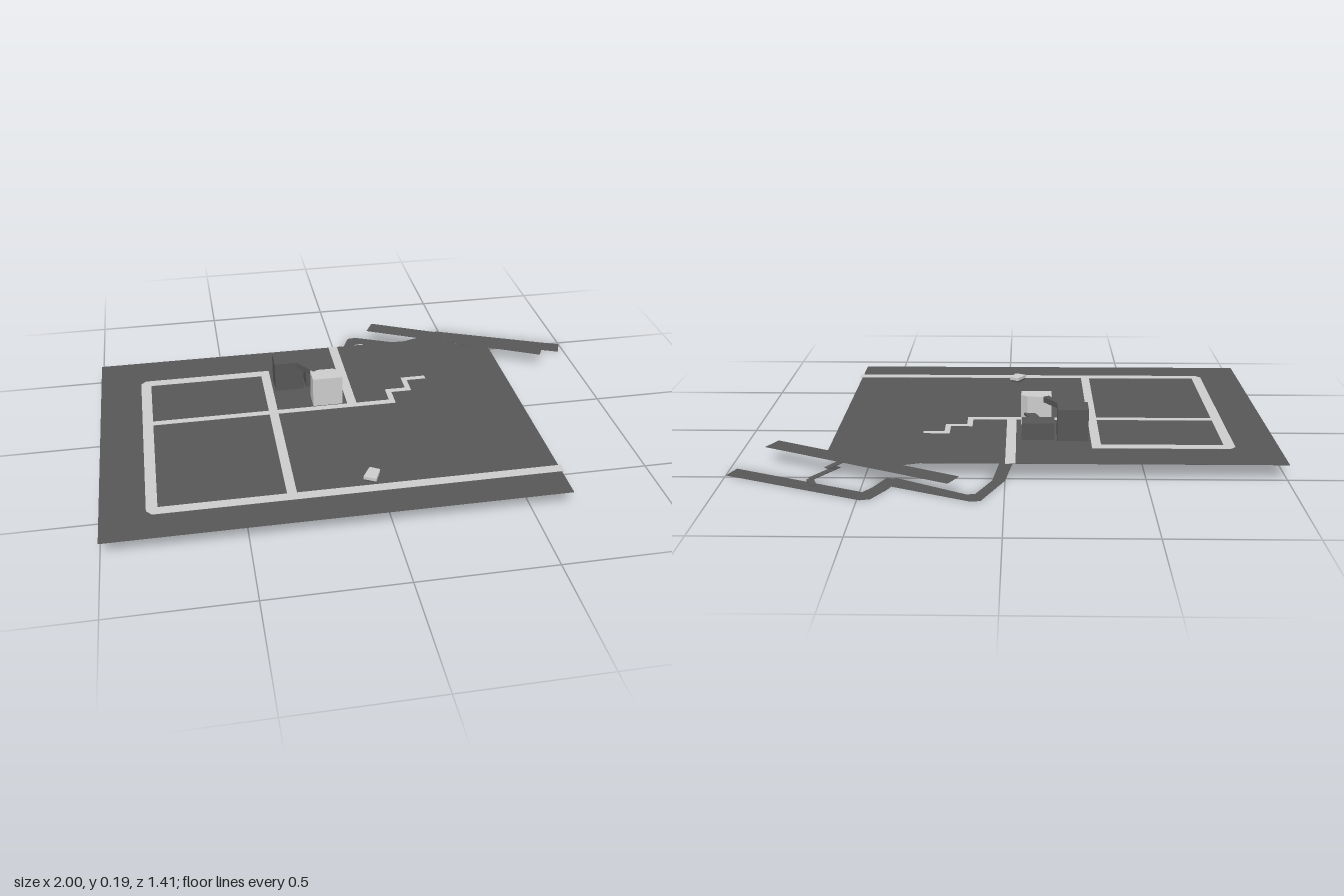
import * as THREE from 'three';

const LEVEL = 0.065; // height of the main floor

const dark = new THREE.MeshStandardMaterial({ color: 0x575757, side: THREE.DoubleSide });
const light = new THREE.MeshStandardMaterial({ color: 0xcccccc, side: THREE.DoubleSide });

// Upright prism from an [x, z] outline between two heights
function prism(name, outline, y0, y1, material) {
  const shape = new THREE.Shape(outline.map(([x, z]) => new THREE.Vector2(x, -z)));
  const geometry = new THREE.ExtrudeGeometry(shape, { depth: y1 - y0, bevelEnabled: false });
  geometry.rotateX(-Math.PI / 2).translate(0, y0, 0);
  const mesh = new THREE.Mesh(geometry, material);
  mesh.name = name;
  return mesh;
}

const rect = (x0, x1, z0, z1) => [[x0, z0], [x1, z0], [x1, z1], [x0, z1]];

// Thin bar between two points
function bar(name, a, b, width, height, material) {
  const from = new THREE.Vector3(...a), to = new THREE.Vector3(...b);
  const mesh = new THREE.Mesh(new THREE.BoxGeometry(width, height, from.distanceTo(to)), material);
  mesh.position.copy(from).lerp(to, 0.5);
  mesh.lookAt(to);
  mesh.name = name;
  return mesh;
}

function group(name, ...children) {
  const g = new THREE.Group();
  g.name = name;
  g.add(...children);
  return g;
}

export function createModel() {
  const model = group('sitePlan');

  // Main floor, cut at the corner where the raised walkway crosses
  model.add(prism('ground', [
    [-1, 0.7], [0.645, 0.7], [0.645, -0.395], [0.36, -0.54], [0.3, -0.52], [-1, -0.52],
  ], LEVEL - 0.0005, LEVEL, dark));
  model.add(prism('upperWalkway', [
    [0.19, -0.71], [0.88, -0.365], [0.845, -0.295], [0.155, -0.645],
  ], LEVEL - 0.0005, LEVEL + 0.0005, dark));

  // Light roads, showing on both faces of the floor
  const roads = [
    rect(-0.8, 0.655, 0.528, 0.568),
    [[-0.84, -0.34], [-0.82, -0.36], [-0.8, -0.36], [-0.8, 0.568], [-0.82, 0.568], [-0.84, 0.545]],
    rect(-0.8, -0.315, -0.36, -0.32),
    rect(-0.35, -0.315, -0.32, 0.528),
    rect(-0.8, -0.35, -0.04, -0.012),
    rect(-0.037, 0, -0.52, -0.04),
    // stepped road
    [[-0.315, -0.04], [0.132, -0.04], [0.132, -0.122], [0.215, -0.122], [0.215, -0.205], [0.315, -0.205],
      [0.315, -0.182], [0.236, -0.182], [0.236, -0.098], [0.154, -0.098], [0.154, -0.012], [-0.315, -0.012]],
  ];
  model.add(group('roads', ...roads.map((r) => prism('road', r, LEVEL - 0.0015, LEVEL + 0.001, light))));

  // Lower paths
  model.add(group('lowerPaths',
    prism('lowerPath', [
      [-0.15, 0.5], [0, -0.52], [0.08, -0.705], [0.115, -0.71], [0.42, -0.57],
      [0.39, -0.5], [0.13, -0.65], [0.1, -0.645], [0.045, -0.52], [-0.08, 0.5],
    ], 0, 0.001, dark),
    prism('lowerWalkway', [
      [0.37, -0.52], [0.41, -0.615], [0.455, -0.695], [0.49, -0.705], [1, -0.485],
      [0.975, -0.42], [0.49, -0.635], [0.46, -0.59], [0.42, -0.5],
    ], 0, 0.001, dark)));

  // Zigzag ramp between the levels
  const ramp = [[0.54, LEVEL, -0.44], [0.63, 0.04, -0.51], [0.6, 0.028, -0.465],
    [0.69, 0.006, -0.53], [0.67, 0.002, -0.58]];
  const flights = ramp.slice(1).map((p, i) => bar('rampFlight', ramp[i], p, 0.025, 0.003, dark));
  model.add(group('ramp', ...flights));

  // Sunken passage walls below the floor
  const passage = [[-0.03, 0.22], [0.02, 0.245], [-0.14, 0.6], [-0.19, 0.575]];
  const walls = [[0, 3], [1, 2], [2, 3]].map(([i, j]) => {
    const at = ([x, z]) => [x, LEVEL / 2, z];
    return bar('passageWall', at(passage[i]), at(passage[j]), 0.003, LEVEL, dark);
  });
  model.add(group('passage', ...walls));

  // Stair hatch rising from the passage
  const hatch = [[-0.04, 0.447], [-0.005, 0.468], [-0.03, 0.527], [-0.073, 0.503]];
  const inset = hatch.map(([x, z]) => [-0.037 + (x + 0.037) * 0.85, 0.486 + (z - 0.486) * 0.85]);
  model.add(group('stairHatch',
    prism('hatchBase', inset, 0.02, 0.075, dark),
    prism('hatchRoof', hatch, 0.075, 0.087, light)));

  // Cluster of buildings
  model.add(group('buildings',
    prism('tallBlock', rect(-0.305, -0.19, -0.285, -0.19), LEVEL, 0.187, dark),
    prism('lowBlock', rect(-0.18, -0.058, -0.275, -0.2), LEVEL, 0.13, dark),
    prism('lightBlock', [
      [-0.172, -0.12], [-0.08, -0.12], [-0.055, -0.095], [-0.055, -0.045], [-0.172, -0.045],
    ], LEVEL, 0.185, light),
    bar('upperBridge', [-0.205, 0.175, -0.195], [-0.15, 0.175, -0.115], 0.025, 0.022, dark),
    bar('lowerBridge', [-0.12, 0.115, -0.205], [-0.085, 0.115, -0.11], 0.04, 0.008, dark)));

  return model;
}
